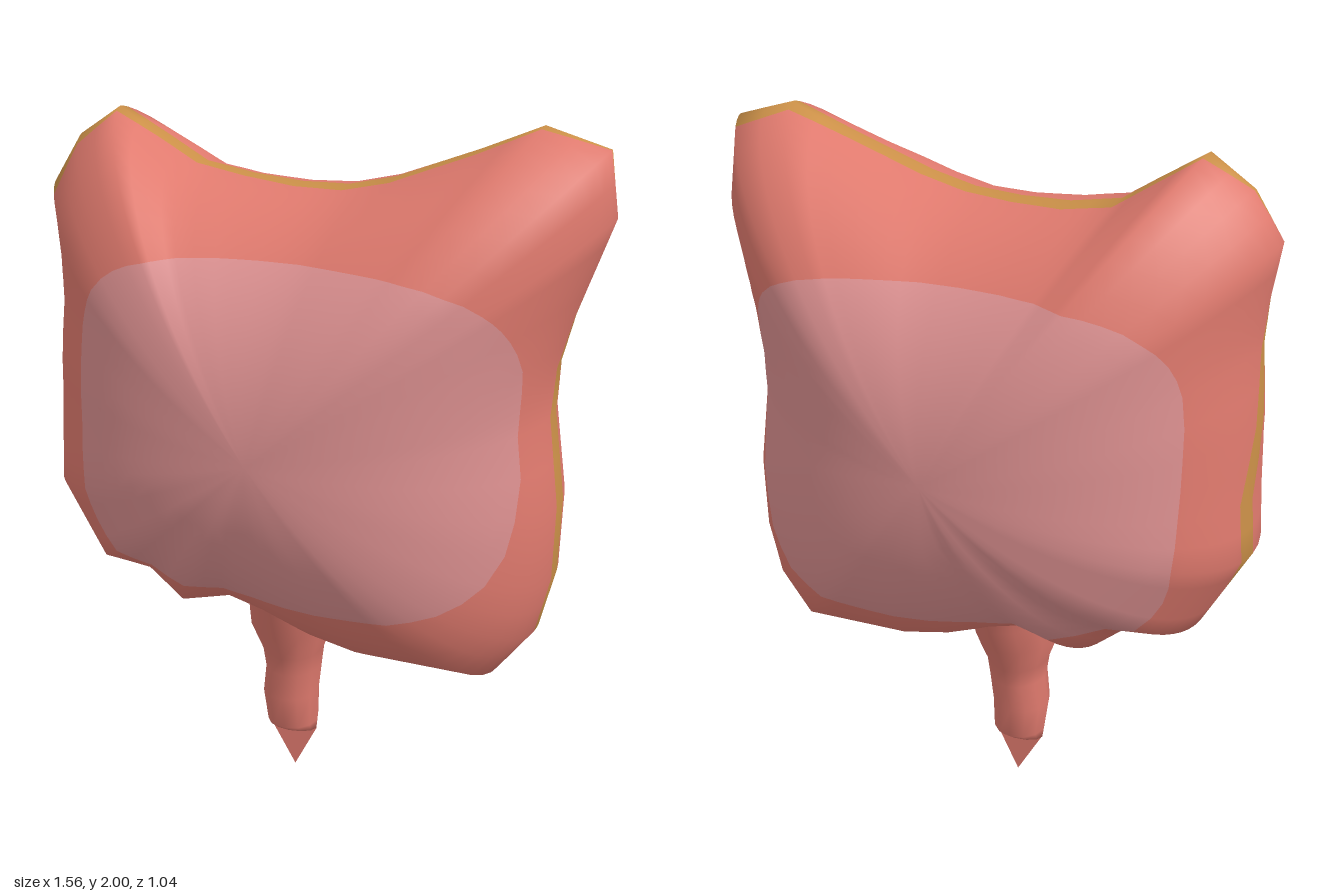
import * as THREE from 'three';

// Rim outline, counter-clockwise seen from the front: x, y, stripe centre z (null = no stripe)
const RIM = [
  [0.65, 1.25, 0.01], [0.655, 1.38, -0.01], [0.69, 1.52, -0.03], [0.735, 1.65, -0.04], [0.78, 1.78, -0.04],
  [0.755, 1.95, -0.03], [0.585, 2, -0.01], [0.42, 1.93, 0.01], [0.2, 1.845, 0.025], [0.07, 1.815, 0.02],
  [-0.07, 1.81, 0], [-0.22, 1.82, -0.03], [-0.36, 1.845, -0.035], [-0.46, 1.91, -0.02], [-0.58, 1.985, 0],
  [-0.7, 1.905, 0.03], [-0.78, 1.78, 0.07], [-0.755, 1.63, 0.06], [-0.745, 1.5, 0.04], [-0.76, 1.3, 0],
  [-0.765, 1.1, -0.07], [-0.775, 0.93, -0.06], [-0.71, 0.81, 0], [-0.645, 0.69, 0], [-0.49, 0.67, null],
  [-0.38, 0.575, null], [-0.22, 0.615, null], [-0.1, 0.58, null], [0.05, 0.52, null], [0.2, 0.485, null],
  [0.37, 0.48, 0], [0.54, 0.475, 0], [0.64, 0.61, 0.01], [0.68, 0.78, 0.015], [0.685, 1, 0.02],
];
const CX = -0.03, CY = 1.2, DEPTH = 0.52, HALF_STRIPE = 0.035;

// Radius of a rounded-square patch in direction (dx, dy)
function patchRadius(dx, dy, right, left, up, down) {
  const a = dx > 0 ? right : left, b = dy > 0 ? up : down;
  return Math.pow(Math.abs(dx / a) ** 4 + Math.abs(dy / b) ** 4, -0.25);
}

// Pillow-shaped body: meridians run from the front centre over the rim to the back centre,
// with rows placed along the edges of the colour areas
function bodyGeometry() {
  const spokes = [];
  RIM.forEach((p, i) => {
    const n = RIM[(i + 1) % RIM.length];
    const striped = p[2] !== null && n[2] !== null;
    for (const f of [0, 0.5]) {
      spokes.push({
        x: p[0] + (n[0] - p[0]) * f - CX, y: p[1] + (n[1] - p[1]) * f - CY,
        z: (p[2] ?? 0) * (1 - f) + (n[2] ?? 0) * f, striped,
      });
    }
  });

  const counts = [10, 8, 4, 8, 10], materialOf = [1, 0, 2, 0, 1];
  const rowBand = counts.flatMap((c, k) => Array(c).fill(k));
  const rows = rowBand.length, positions = [];

  for (const s of spokes) {
    const R = Math.hypot(s.x, s.y), dx = s.x / R, dy = s.y / R;
    // the two upper corners taper more than the rest
    const corner = dy > 0 ? THREE.MathUtils.clamp((R - 0.7) / 0.3, 0, 1) : 0;
    const power = 1 + 0.44 * corner;
    const angleAtZ = z => Math.acos(Math.sign(z) * Math.pow(Math.abs(z) / DEPTH, 1 / power));
    const angleAtR = r => Math.asin(Math.min(r / R, 0.92));
    const stops = [
      0,
      angleAtR(patchRadius(dx, dy, 0.64, 0.54, 0.48, 0.45)),
      angleAtZ(s.z + HALF_STRIPE),
      angleAtZ(s.z - HALF_STRIPE),
      Math.PI - angleAtR(patchRadius(dx, dy, 0.61, 0.61, 0.47, 0.5)),
      Math.PI,
    ];
    const angles = [0];
    counts.forEach((c, k) => {
      for (let j = 1; j <= c; j++) angles.push(stops[k] + (stops[k + 1] - stops[k]) * j / c);
    });
    for (const a of angles) {
      const c = Math.cos(a), r = Math.sin(a);
      positions.push(CX + s.x * r, CY + s.y * r, DEPTH * Math.sign(c) * Math.pow(Math.abs(c), power));
    }
  }

  // one index list for each colour
  const lists = [[], [], []], n = spokes.length, w = rows + 1;
  for (let i = 0; i < n; i++) {
    for (let j = 0; j < rows; j++) {
      let m = materialOf[rowBand[j]];
      if (m === 2 && !spokes[i].striped) m = 0;
      const a = i * w + j, b = ((i + 1) % n) * w + j;
      if (j < rows - 1) lists[m].push(a, a + 1, b + 1);
      if (j > 0) lists[m].push(a, b + 1, b);
    }
  }
  const geo = new THREE.BufferGeometry();
  geo.setAttribute('position', new THREE.Float32BufferAttribute(positions, 3));
  geo.setIndex(lists.flat());
  let start = 0;
  lists.forEach((l, k) => { geo.addGroup(start, l.length, k); start += l.length; });
  geo.computeVertexNormals();
  // the centre points share one normal
  const normal = geo.attributes.normal;
  for (let i = 0; i < n; i++) {
    normal.setXYZ(i * w, 0, 0, 1);
    normal.setXYZ(i * w + rows, 0, 0, -1);
  }
  return geo;
}

// Elliptical rings from top to bottom: y, centre x, half width x, half width z
function loft(rings, sides) {
  const pos = [], idx = [];
  for (const [y, cx, rx, rz] of rings) {
    for (let i = 0; i < sides; i++) {
      const a = i / sides * Math.PI * 2;
      pos.push(cx + rx * Math.cos(a), y, rz * Math.sin(a));
    }
  }
  for (let k = 0; k < rings.length - 1; k++) {
    for (let i = 0; i < sides; i++) {
      const a = k * sides + i, b = k * sides + (i + 1) % sides;
      idx.push(a, b, b + sides, a, b + sides, a + sides);
    }
  }
  const geo = new THREE.BufferGeometry();
  geo.setAttribute('position', new THREE.Float32BufferAttribute(pos, 3));
  geo.setIndex(idx);
  geo.computeVertexNormals();
  return geo;
}

export function createModel() {
  const material = (name, color) => {
    const m = new THREE.MeshStandardMaterial({ color, side: THREE.DoubleSide });
    m.name = name;
    return m;
  };
  const coral = material('coral', 0xe07a6e);
  const pink = material('pink', 0xdc9090);
  const ochre = material('ochre', 0xcb9048);

  const group = new THREE.Group();
  const add = (name, geometry, mat) => {
    const mesh = new THREE.Mesh(geometry, mat);
    mesh.name = name;
    group.add(mesh);
  };

  add('body', bodyGeometry(), [coral, pink, ochre]);

  // Stem flaring into the underside
  add('stem', loft([
    [0.72, -0.08, 0.15, 0.26], [0.6, -0.085, 0.125, 0.2], [0.51, -0.09, 0.122, 0.155],
    [0.42, -0.09, 0.09, 0.11], [0.36, -0.09, 0.083, 0.098], [0.27, -0.1, 0.085, 0.085],
    [0.17, -0.095, 0.077, 0.077], [0.14, -0.095, 0.074, 0.04], [0.135, -0.095, 0.002, 0.002],
  ], 12), coral);

  // Flat pointed tip
  const tip = new THREE.Shape([
    new THREE.Vector2(-0.17, 0.145), new THREE.Vector2(-0.09, 0), new THREE.Vector2(-0.02, 0.14),
  ]);
  add('stemTip', new THREE.ShapeGeometry(tip), coral);

  return group;
}
